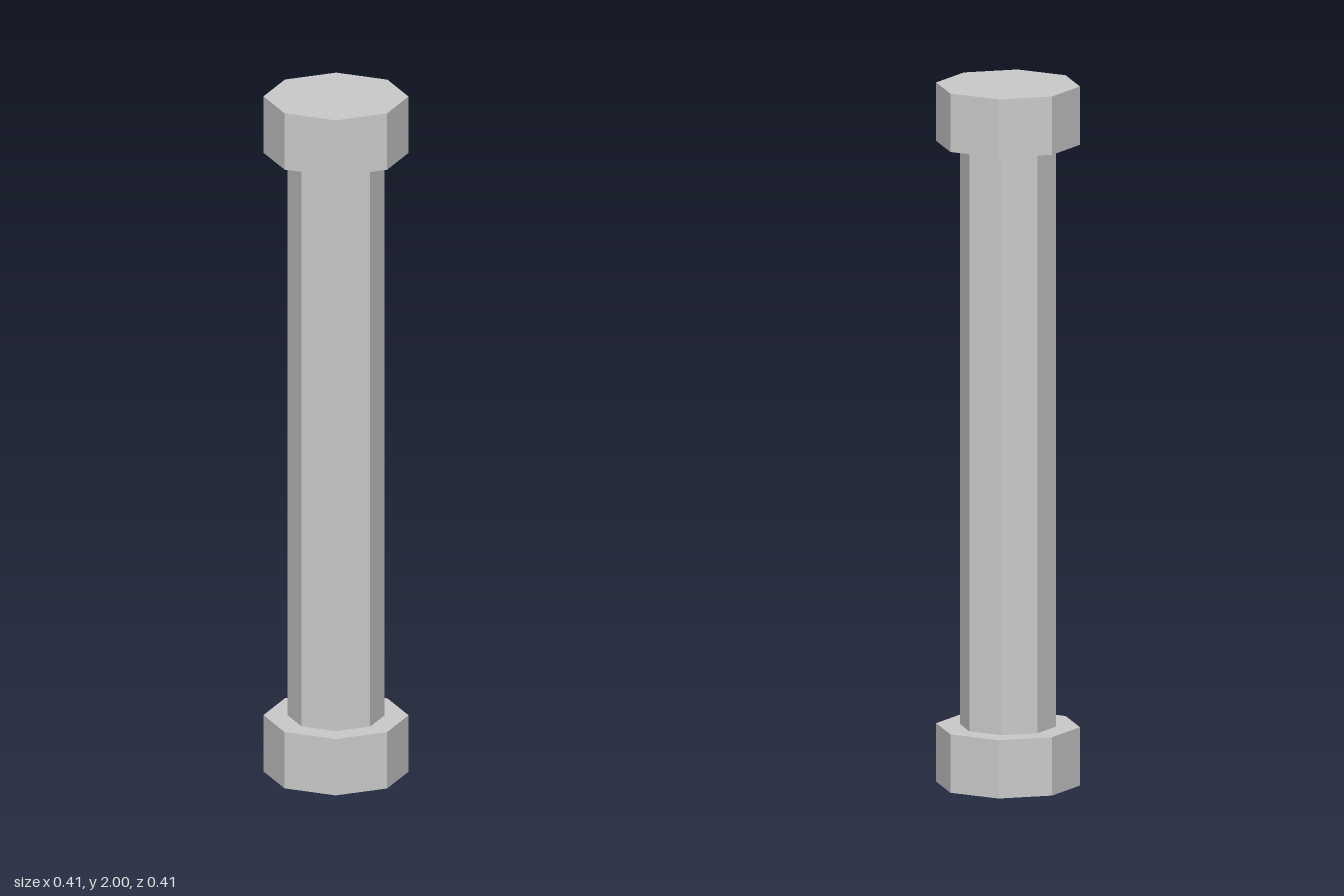
import * as THREE from 'three';

const SIDES = 8;
const HEIGHT = 2;
const CAP_HEIGHT = 0.167;
const CAP_RADIUS = 0.203;
const SHAFT_RADIUS = 0.136;

export function createModel() {
  const group = new THREE.Group();
  group.name = 'column';
  const material = new THREE.MeshStandardMaterial({ color: 0xcccccc, flatShading: true });

  // Octagonal prism standing on the given height
  const addPrism = (name, radius, height, bottom, open = false) => {
    const geometry = new THREE.CylinderGeometry(radius, radius, height, SIDES, 1, open);
    const mesh = new THREE.Mesh(geometry, material);
    mesh.name = name;
    mesh.position.y = bottom + height / 2;
    group.add(mesh);
  };

  addPrism('base', CAP_RADIUS, CAP_HEIGHT, 0);
  // The shaft's ends are hidden against the base and capital
  addPrism('shaft', SHAFT_RADIUS, HEIGHT - 2 * CAP_HEIGHT, CAP_HEIGHT, true);
  addPrism('capital', CAP_RADIUS, CAP_HEIGHT, HEIGHT - CAP_HEIGHT);

  return group;
}
